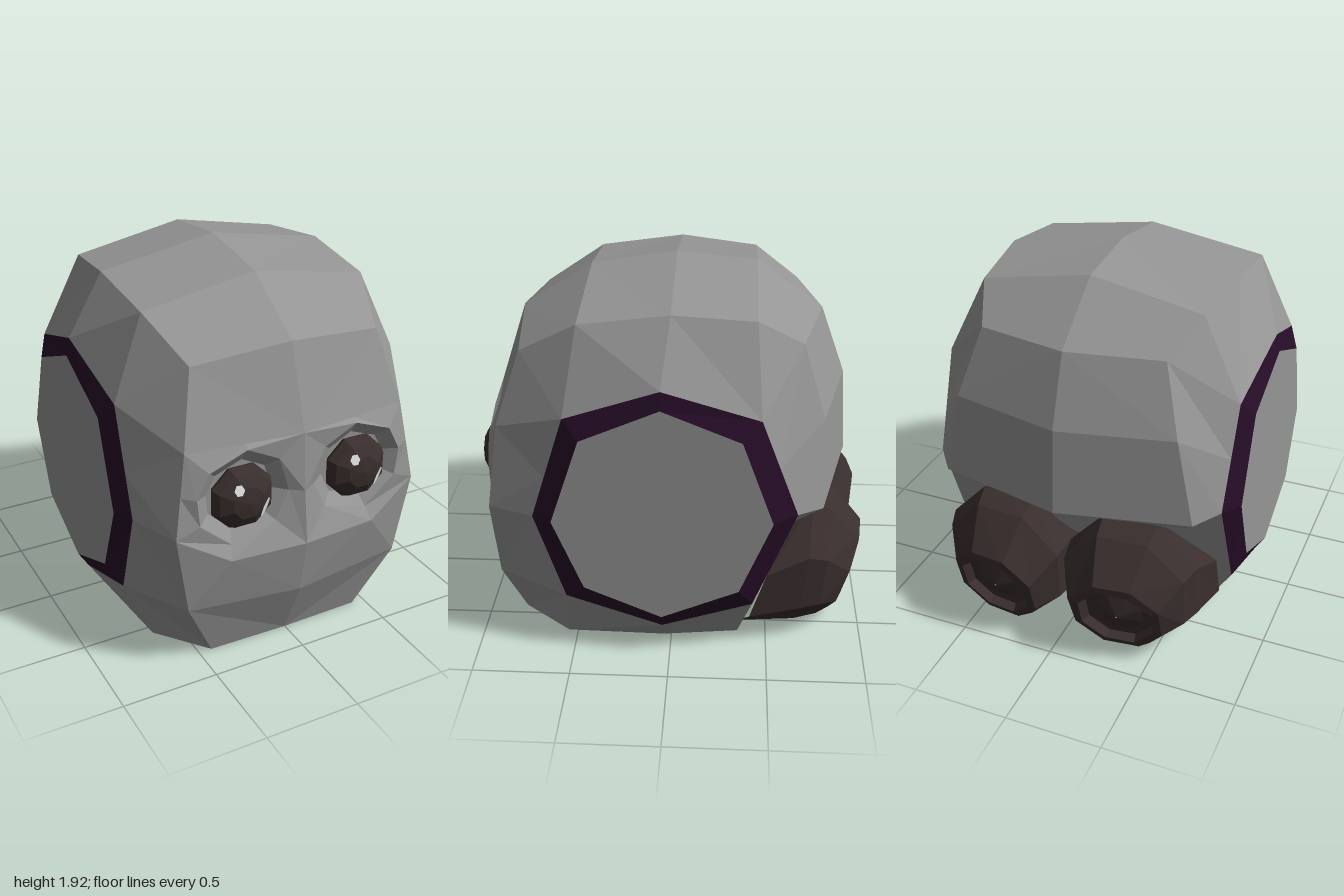
import * as THREE from 'three';

const mat = (name, hex) => {
  const m = new THREE.MeshStandardMaterial({ color: hex });
  m.name = name;
  return m;
};

// Flat-shaded mesh from polygons of [x, y, z] corners, mirrored across x = 0.
function mirroredMesh(name, faces, material) {
  const pos = [];
  for (const side of [1, -1]) {
    for (const f of faces) {
      for (let i = 1; i < f.length - 1; i++) {
        const tri = side > 0 ? [f[0], f[i], f[i + 1]] : [f[0], f[i + 1], f[i]];
        tri.forEach(([x, y, z]) => pos.push(x * side, y, z));
      }
    }
  }
  const g = new THREE.BufferGeometry();
  g.setAttribute('position', new THREE.Float32BufferAttribute(pos, 3));
  g.computeVertexNormals();
  const mesh = new THREE.Mesh(g, material);
  mesh.name = name;
  return mesh;
}

// Join neighbouring loops with quads.
function loft(loops) {
  const faces = [];
  for (let k = 0; k < loops.length - 1; k++) {
    const a = loops[k], b = loops[k + 1], n = a.length;
    for (let i = 0; i < n; i++) {
      const j = (i + 1) % n;
      faces.push([a[i], b[i], b[j], a[j]]);
    }
  }
  return faces;
}

export function createModel() {
  const group = new THREE.Group();
  group.name = 'helmetHead';
  const grey = mat('shellGrey', 0x959595);
  const purple = mat('trimPurple', 0x270d28);
  const brown = mat('darkBrown', 0x3a2f2e);
  const white = mat('glintWhite', 0xffffff);

  // Side octagons, from the top towards the front
  const outer = [
    [0.82, 1.51, 0.04], [0.785, 1.34, 0.51], [0.785, 0.8, 0.68], [0.785, 0.33, 0.53],
    [0.785, 0.16, 0.04], [0.785, 0.31, -0.42], [0.775, 0.84, -0.63], [0.785, 1.35, -0.44],
  ];
  const inner = [
    [0.84, 1.42, 0.04], [0.84, 1.25, 0.43], [0.84, 0.8, 0.58], [0.84, 0.42, 0.43],
    [0.84, 0.25, 0.04], [0.84, 0.42, -0.35], [0.84, 0.82, -0.51], [0.84, 1.26, -0.35],
  ];
  const onRing = (t) => {
    const a = outer[Math.floor(t) % 8], b = outer[(Math.floor(t) + 1) % 8], f = t % 1;
    return a.map((v, i) => v + (b[i] - v) * f);
  };

  // Shell profile: centre y, z; shoulder x, y, z; place on the side octagon
  const rows = [
    [0, 0.82, 0.43, 0, 0.81, 3],
    [0.32, 0.95, 0.6, 0.35, 0.9, 3],
    [0.62, 1.0, 0.67, 0.78, 0.92, 2],
    [1.2, 0.94, 0.6, 1.2, 0.87, 1.6],
    [1.62, 0.8, 0.51, 1.57, 0.75, 1],
    [1.85, 0.44, 0.61, 1.75, 0.45, 1],
    [1.92, 0, 0.62, 1.81, 0, 0],
    [1.88, -0.41, 0.58, 1.77, -0.41, 7],
    [1.63, -0.75, 0.48, 1.62, -0.64, 7],
    [1.27, -0.88, 0.58, 1.27, -0.75, 6.5],
    [0.82, -0.91, 0.67, 0.82, -0.76, 6],
    [0.74, -0.73, 0.6, 0.68, -0.6, 6],
    [0, -0.35, 0.6, 0, -0.35, 5],
  ];
  const C = rows.map((r) => [0, r[0], r[1]]);
  const P = rows.map((r) => [r[2], r[3], r[4]]);
  const S = rows.map((r) => onRing(r[5]));
  const cheek = [0.4, 0.62, 0.97];
  const shell = [];
  for (let i = 0; i < rows.length - 1; i++) {
    if (i === 1) shell.push([C[1], P[1], cheek, C[2]], [P[1], P[2], cheek]);
    else if (i !== 2) shell.push([C[i], P[i], P[i + 1], C[i + 1]]);
    shell.push([P[i], S[i], S[i + 1], P[i + 1]]);
  }
  // Lower sides and flat base
  const base1 = [0.64, 0, 0.55], base2 = [0.65, 0, 0.04], base3 = P[12];
  shell.push([P[0], base1, outer[3]], [base1, base2, outer[4], outer[3]]);
  shell.push([base2, base3, outer[5], outer[4]]);
  shell.push([C[0], C[12], base3, base2, base1, P[0]]);
  group.add(mirroredMesh('shell', shell, grey));

  // Face panel with a sunken eye socket on each side
  const ex = 0.32, ey = 0.93, ez = 0.905;
  const panel = [C[2], cheek, P[2], [0.635, 0.99, 0.895], P[3], [0.3, 1.2, 0.905], C[3], [0, 0.9, 0.965]];
  const socket = (r, z) => panel.map(([x, y]) => {
    const a = Math.atan2(y - ey, x - ex);
    return [ex + r * Math.cos(a), ey + r * Math.sin(a), z];
  });
  const floor = socket(0.18, 0.88);
  const face = loft([panel, socket(0.25, 0.93), floor].map((l) => l.slice().reverse()))
    .map((f) => f.slice().reverse());
  // Reversed twice: the loops run counter-clockwise and shrink inward
  const faceFixed = face.map((f) => f);
  const n = new THREE.Vector3();
  const v = faceFixed[0].map((p) => new THREE.Vector3(...p));
  n.crossVectors(v[1].clone().sub(v[0]), v[2].clone().sub(v[0]));
  const faceOut = n.z < 0 ? faceFixed.map((f) => f.slice().reverse()) : faceFixed;
  group.add(mirroredMesh('faceAndSockets', [...faceOut, floor], grey));

  // Side trim and discs
  const trim = outer.map((o, i) => [o, outer[(i + 1) % 8], inner[(i + 1) % 8], inner[i]]);
  group.add(mirroredMesh('sideTrim', trim, purple));
  group.add(mirroredMesh('sideDisc', [inner], grey));

  // Eyes with two glints each
  const er = 0.172, ed = 0.095;
  for (const side of [1, -1]) {
    const eye = new THREE.Group();
    eye.name = side > 0 ? 'leftEye' : 'rightEye';
    eye.position.set(side * ex, ey, ez);
    let g = new THREE.SphereGeometry(1, 8, 6).rotateX(Math.PI / 2).rotateZ(Math.PI / 8);
    g = g.scale(er, er, ed).toNonIndexed();
    g.computeVertexNormals();
    const ball = new THREE.Mesh(g, brown);
    ball.name = 'eyeball';
    eye.add(ball);
    for (const [dx, dy, w, h, tilt] of [[-0.052, 0.078, 0.026, 0.03, 0], [0.09, -0.045, 0.015, 0.055, -0.4]]) {
      const dz = ed * Math.sqrt(1 - (dx * dx + dy * dy) / (er * er));
      const normal = new THREE.Vector3(dx / er ** 2, dy / er ** 2, dz / ed ** 2).normalize();
      const glint = new THREE.Mesh(new THREE.CircleGeometry(1, 6).scale(w, h, 1).rotateZ(tilt), white);
      glint.name = 'eyeGlint';
      glint.position.set(dx, dy, dz);
      glint.quaternion.setFromUnitVectors(new THREE.Vector3(0, 0, 1), normal);
      eye.add(glint);
    }
    group.add(eye);
  }

  // Twin rear thrusters: octagonal loops, slanted in z, ending in a recessed nozzle
  const loop = (cx, cy, cz, rx, ry, slopeY, slopeX = 0) => Array.from({ length: 8 }, (_, i) => {
    const a = ((i + 0.5) * Math.PI) / 4;
    const dx = (rx * Math.cos(a)) / Math.cos(Math.PI / 8);
    const dy = (ry * Math.sin(a)) / Math.cos(Math.PI / 8);
    return [Math.max(0, cx + dx), cy + dy, cz + slopeY * dy + slopeX * dx];
  });
  const nozzle = (r, depth) => loop(0.34, 0.28, -0.925 + depth, r, r, -0.3, 0.12);
  const loops = [
    loop(0.36, 0.31, -0.45, 0.36, 0.31, -0.32),
    loop(0.335, 0.37, -0.69, 0.345, 0.37, -0.1),
    loop(0.335, 0.36, -0.81, 0.315, 0.33, -0.08, 0.06),
    nozzle(0.225, 0), nozzle(0.185, -0.01), nozzle(0.165, 0.04), nozzle(0.12, 0.045),
    nozzle(0.005, 0.0),
  ];
  group.add(mirroredMesh('thruster', loft(loops), brown));

  return group;
}
